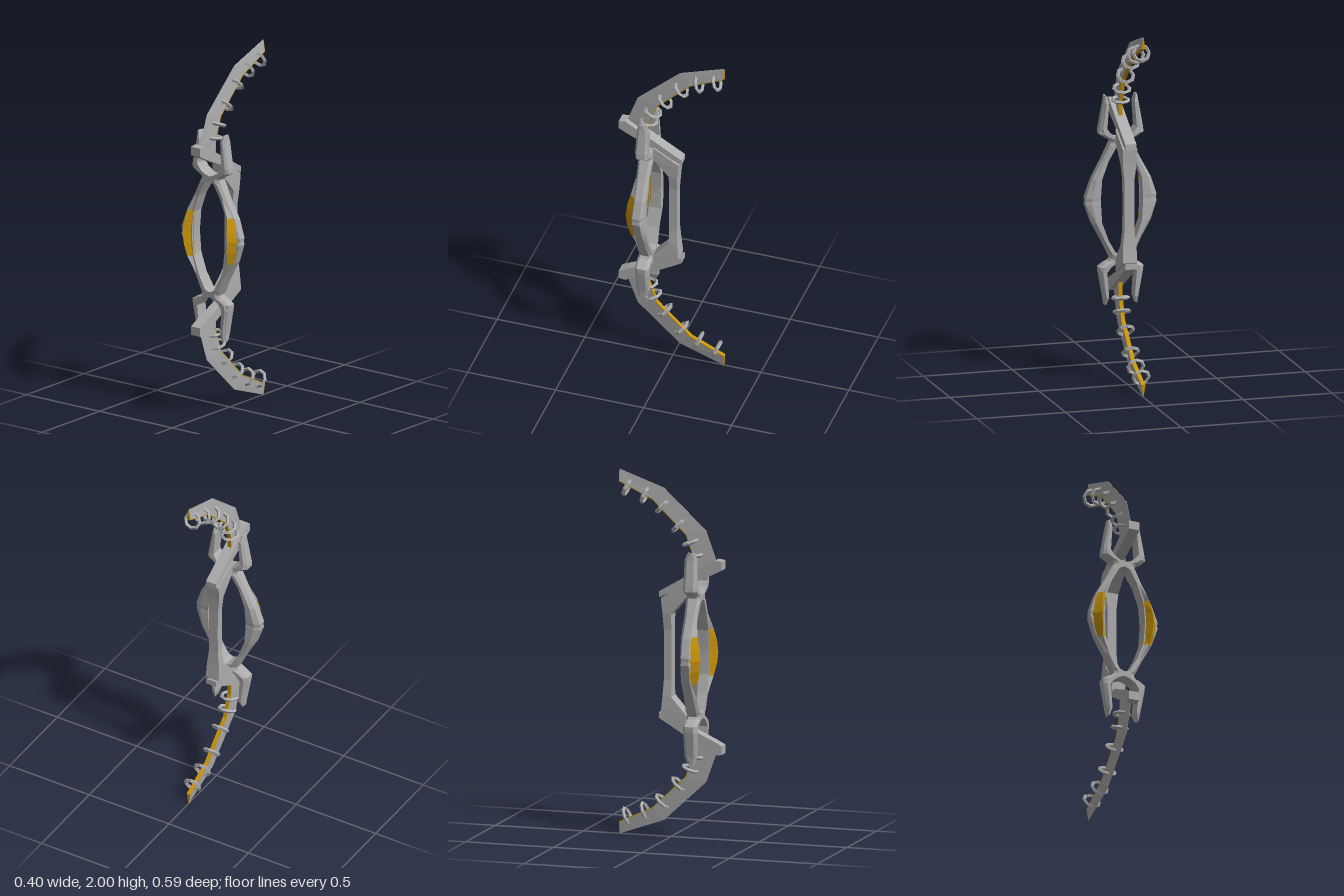
import * as THREE from 'three';

const steel = new THREE.MeshStandardMaterial({ color: 0xacacac });
steel.name = 'steel grey';
const gold = new THREE.MeshStandardMaterial({ color: 0xc8940a });
gold.name = 'gold';

// Joins convex rings of [x, y, z] into a closed, faceted solid with outward faces
function loft(rings) {
  const p = [];
  const n = rings[0].length;
  const tri = (a, b, c) => p.push([a, b, c]);
  for (let i = 0; i < rings.length - 1; i++) {
    for (let j = 0; j < n; j++) {
      const k = (j + 1) % n;
      const [a, b, c, d] = [rings[i][j], rings[i][k], rings[i + 1][k], rings[i + 1][j]];
      tri(a, b, c);
      tri(a, c, d);
    }
  }
  const last = rings[rings.length - 1];
  for (let j = 1; j < n - 1; j++) {
    tri(rings[0][0], rings[0][j + 1], rings[0][j]);
    tri(last[0], last[j], last[j + 1]);
  }
  // The signed volume tells whether the faces need turning round
  let volume = 0;
  const [A, B, C] = [new THREE.Vector3(), new THREE.Vector3(), new THREE.Vector3()];
  for (const [a, b, c] of p) volume += A.fromArray(a).dot(B.fromArray(b).cross(C.fromArray(c)));
  const flat = p.flatMap(([a, b, c]) => (volume < 0 ? [a, c, b] : [a, b, c])).flat();
  const g = new THREE.BufferGeometry();
  g.setAttribute('position', new THREE.Float32BufferAttribute(flat, 3));
  g.computeVertexNormals();
  return g;
}

function add(parent, name, geometry, material) {
  const mesh = new THREE.Mesh(geometry, material);
  mesh.name = name;
  parent.add(mesh);
  return mesh;
}

const flipY = (rings) => rings.map((r) => r.map(([x, y, z]) => [x, 2 - y, z]));
const flipX = (rings) => rings.map((r) => r.map(([x, y, z]) => [-x, y, z]));
// Completes upper rings, the last of them at y = 1, with their lower mirror
const fullHeight = (rings) => [...rings, ...flipY(rings).reverse().slice(1)];

// Four-sided ring between a front and a back point [z, y] with half widths
const plank = ([f, b, wf, wb = wf]) => [
  [wf, f[1], f[0]], [-wf, f[1], f[0]], [-wb, b[1], b[0]], [wb, b[1], b[0]],
];

// Limb: outer sharp edge and inner gold edge, as [z, y]
const limbOuter = [[-0.29, 2.0], [-0.04, 1.912], [0.2, 1.69], [0.258, 1.53], [0.24, 1.49]];
const limbInner = [[-0.29, 1.937], [-0.1, 1.848], [0.09, 1.665], [0.135, 1.54], [0.14, 1.46]];

// Rings on a limb: centre z, y and direction dz, dy of the ring plane
const ringSpots = [
  [-0.25, 1.9, -0.037, -0.085], [-0.148, 1.865, -0.034, -0.085], [-0.05, 1.807, -0.07, -0.07],
  [0.042, 1.708, -0.07, -0.07], [0.112, 1.62, -0.095, -0.037], [0.137, 1.55, -0.1, -0.015],
];

// Side frame, top to middle: y, inner x, outer x, back z, front z
const frameRows = [
  [1.58, 0.083, 0.094, 0.125, 0.165], [1.54, 0.072, 0.097, 0.107, 0.175],
  [1.4, 0.083, 0.122, 0.105, 0.18], [1.37, 0.062, 0.124, 0.102, 0.18],
  [1.348, 0.03, 0.09, 0.102, 0.18], [1.34, 0, 0.07, 0.102, 0.18],
  [1.325, 0, 0.058, 0.102, 0.18], [1.312, 0, 0.064, 0.102, 0.18],
  [1.3, 0.03, 0.07, 0.102, 0.18], [1.22, 0.075, 0.11, 0.107, 0.177],
  [1.12, 0.112, 0.165, 0.105, 0.175], [1.02, 0.118, 0.199, 0.108, 0.18], [1, 0.118, 0.197, 0.11, 0.178],
];

// Six-sided section with its outer side bevelled
function frameRing([y, xi, xo, zb, zf]) {
  const bevel = (xo - xi) * 0.4;
  return [
    [xi, y, zb], [xi, y, zf], [xo - bevel, y, zf],
    [xo, y, zf - 0.013], [xo, y, zb + 0.016], [xo - bevel, y, zb],
  ];
}

// Raised ridge on the frame: y, inner x, ridge x, outer x, base z, ridge z
const ridgeRing = ([y, xi, xr, xo, zb, zr]) => [[xi, y, zb], [xr, y, zr], [xo, y, zb]];
const ridgeRows = [
  [1.13, 0.11, 0.137, 0.157, 0.168, 0.196],
  [1.06, 0.113, 0.147, 0.18, 0.165, 0.213],
  [1, 0.115, 0.152, 0.192, 0.165, 0.218],
];
const ridgeEndRows = [[1.22, 0.08, 0.092, 0.107, 0.17, 0.179], ridgeRows[0]];

export function createModel() {
  const model = new THREE.Group();
  model.name = 'bow';

  // Grip at the back with flared ends leaning forward
  const gripRows = [
    [[0.1, 1.4], [-0.045, 1.315], 0.04],
    [[0.1, 1.325], [-0.042, 1.285], 0.04],
    [[0.012, 1.225], [-0.036, 1.225], 0.038],
    [[0.012, 1.14], [-0.032, 1.14], 0.028],
    [[0.012, 1], [-0.032, 1], 0.027],
  ];
  add(model, 'grip', loft(fullHeight(gripRows.map(plank))), steel);

  for (const upper of [true, false]) {
    const half = new THREE.Group();
    half.name = upper ? 'upperHalf' : 'lowerHalf';
    model.add(half);
    const place = (rings) => loft(upper ? rings : flipY(rings));

    // Slanted bar between grip and limb
    const barRows = [
      [[0.298, 1.53], [0.298, 1.482], 0.031], [[0.26, 1.535], [0.25, 1.457], 0.031],
      [[-0.058, 1.348], [-0.058, 1.315], 0.031],
    ];
    add(half, 'slantedBar', place(barRows.map(plank)), steel);

    // Curved limb, sharp outside
    const limb = limbOuter.map((o, i) => plank([o, limbInner[i], 0.001, 0.011]));
    add(half, 'limb', place(limb), steel);

    // Gold strip along the inner edge and gold tip
    const strip = limbInner.map((b) => plank([b, [b[0] - 0.003, b[1] - 0.004], 0.0112]));
    add(half, 'limbInnerEdge', place(strip), gold);
    const tip = [-0.288, -0.294].map((z) => [[0, 2.0, z], [-0.011, 1.935, z], [0.011, 1.935, z]]);
    add(half, 'limbTip', place(tip), gold);

    // Faceted rings hung along the limb
    for (const [z, y, dz, dy] of ringSpots) {
      const g = new THREE.TorusGeometry(0.044, 0.0105, 4, 8).toNonIndexed();
      g.computeVertexNormals();
      const ring = add(half, 'limbRing', g, steel);
      ring.position.set(0, upper ? y : 2 - y, z);
      ring.rotation.x = Math.atan2(dz, upper ? dy : -dy);
    }
  }

  // Mirrored side frames with gold ridges
  for (const left of [true, false]) {
    const side = new THREE.Group();
    side.name = left ? 'leftFrame' : 'rightFrame';
    model.add(side);
    const place = (rings) => loft(left ? rings : flipX(rings));
    add(side, 'sideFrame', place(fullHeight(frameRows.map(frameRing))), steel);
    add(side, 'goldRidge', place(fullHeight(ridgeRows.map(ridgeRing))), gold);
    const end = ridgeEndRows.map(ridgeRing);
    add(side, 'upperRidgeEnd', place(end), steel);
    add(side, 'lowerRidgeEnd', place(flipY(end)), steel);
  }
  return model;
}
